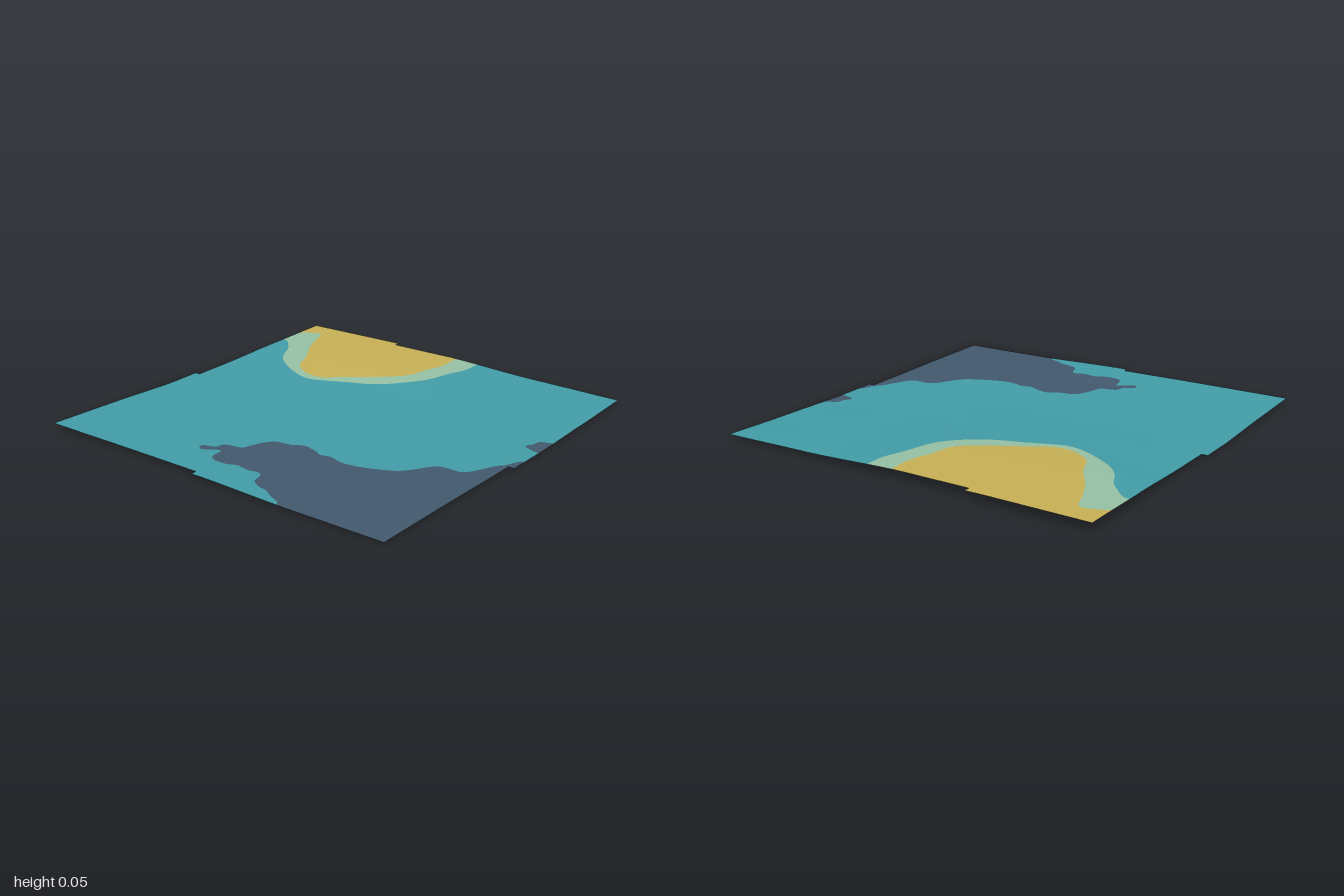
import * as THREE from 'three';

const mat = (name, color) => {
  const m = new THREE.MeshStandardMaterial({ color, side: THREE.DoubleSide });
  m.name = name;
  return m;
};

// Heights on a coarse grid: rows run back to front, columns from -x to +x
const HEIGHTS = [
  [0.026, 0.022, 0.013, 0.022, 0.038, 0.050],
  [0.026, 0.020, 0.012, 0.030, 0.052, 0.053],
  [0.024, 0.014, 0.010, 0.025, 0.049, 0.053],
  [0.012, 0.010, 0.008, 0.017, 0.026, 0.034],
  [0.010, 0.010, 0.006, 0.005, 0.015, 0.027],
];

// Smooth blend between the grid heights
function height(x, z) {
  const u = THREE.MathUtils.clamp((x + 1) / 0.4, 0, 4.9999);
  const v = THREE.MathUtils.clamp((z + 1) / 0.5, 0, 3.9999);
  const i = Math.floor(u), j = Math.floor(v);
  const ease = (t) => t * 0.5 + t * t * (3 - 2 * t) * 0.5;
  const s = ease(u - i), t = ease(v - j);
  const row = (r) => THREE.MathUtils.lerp(HEIGHTS[r][i], HEIGHTS[r][i + 1], s);
  return THREE.MathUtils.lerp(row(j), row(j + 1), t);
}

function normal(x, z) {
  const e = 0.06;
  return new THREE.Vector3(
    height(x - e, z) - height(x + e, z), 2 * e, height(x, z - e) - height(x, z + e)
  ).normalize();
}

const pts = (list) => list.map(([x, z]) => new THREE.Vector2(x, z));
const smooth = (list) => new THREE.SplineCurve(pts(list)).getPoints(list.length * 4);

// Keep the part of a polygon on one side of an axis-aligned line
function clip(poly, axis, limit, sign) {
  const out = [];
  poly.forEach((a, k) => {
    const b = poly[(k + 1) % poly.length];
    const da = (a[axis] - limit) * sign, db = (b[axis] - limit) * sign;
    if (da >= 0) out.push(a);
    if ((da > 0 && db < 0) || (da < 0 && db > 0)) out.push(a.clone().lerp(b, da / (da - db)));
  });
  return out;
}

// Drape a flat outline over the height field, cell by cell
function drape(name, outline, material) {
  const position = [], normals = [], step = 0.1;
  for (let i = 0; i < 20; i++) {
    const x0 = -1 + i * step;
    const strip = clip(clip(outline, 'x', x0, 1), 'x', x0 + step, -1);
    if (strip.length < 3) continue;
    for (let j = 0; j < 20; j++) {
      const z0 = -1 + j * step;
      let cell = clip(clip(strip, 'y', z0, 1), 'y', z0 + step, -1);
      cell = cell.filter((p, k) => p.distanceTo(cell[(k + 1) % cell.length]) > 1e-6);
      if (cell.length < 3) continue;
      for (const [a, b, c] of THREE.ShapeUtils.triangulateShape(cell, [])) {
        const A = cell[a], B = cell[b], C = cell[c];
        const area = (B.y - A.y) * (C.x - A.x) - (B.x - A.x) * (C.y - A.y);
        if (Math.abs(area) < 1e-9) continue;
        for (const p of area > 0 ? [A, B, C] : [A, C, B]) {
          position.push(p.x, height(p.x, p.y), p.y);
          normals.push(...normal(p.x, p.y).toArray());
        }
      }
    }
  }
  const g = new THREE.BufferGeometry();
  g.setAttribute('position', new THREE.Float32BufferAttribute(position, 3));
  g.setAttribute('normal', new THREE.Float32BufferAttribute(normals, 3));
  const mesh = new THREE.Mesh(g, material);
  mesh.name = name;
  return mesh;
}

export function createModel() {
  const group = new THREE.Group();
  group.name = 'seabedTerrain';

  // Shoreline of the deep basin, from the -x edge to the front edge
  const deepLine = smooth([
    [-1, 0.43], [-0.97, 0.40], [-0.95, 0.35], [-0.92, 0.30], [-0.91, 0.25], [-0.88, 0.20],
    [-0.82, 0.18], [-0.80, 0.15], [-0.81, 0.10], [-0.80, 0.03], [-0.82, -0.02], [-0.82, -0.09],
    [-0.79, -0.13], [-0.73, -0.14], [-0.72, -0.16], [-0.76, -0.22], [-0.75, -0.25],
    [-0.72, -0.25], [-0.70, -0.20], [-0.65, -0.18], [-0.63, -0.10], [-0.57, -0.08],
    [-0.50, -0.05], [-0.47, -0.01], [-0.46, 0.06], [-0.43, 0.11], [-0.45, 0.19], [-0.47, 0.23],
    [-0.46, 0.29], [-0.48, 0.36], [-0.47, 0.45], [-0.42, 0.58], [-0.37, 0.64], [-0.26, 0.71],
    [-0.24, 0.76], [-0.24, 0.83], [-0.20, 0.87], [-0.09, 0.92], [-0.05, 0.95], [0.02, 0.98], [0.03, 1],
  ]);
  // Small deep pocket on the front edge
  const pocketLine = smooth([
    [0.16, 1], [0.18, 0.93], [0.20, 0.91], [0.24, 0.93], [0.28, 0.94], [0.30, 1],
  ]);
  // Outer edge of the shallows, from the back edge to the +x edge
  const shallowLine = smooth([
    [0.69, -0.97], [0.68, -0.93], [0.63, -0.88], [0.57, -0.83], [0.47, -0.78], [0.385, -0.70],
    [0.30, -0.56], [0.265, -0.45], [0.28, -0.37], [0.33, -0.25], [0.39, -0.10], [0.47, 0],
    [0.59, 0.09], [0.75, 0.135], [0.86, 0.17], [0.97, 0.17],
  ]);
  // Edge of the sand
  const sandLine = smooth([
    [0.84, -0.97], [0.87, -0.91], [0.88, -0.84], [0.78, -0.80], [0.67, -0.75], [0.59, -0.70],
    [0.51, -0.65], [0.41, -0.61], [0.35, -0.55], [0.315, -0.47], [0.315, -0.39], [0.36, -0.32],
    [0.42, -0.23], [0.50, -0.115], [0.59, -0.02], [0.72, 0.01], [0.83, 0.04], [0.97, 0.035],
  ]);
  const back = (line) => [...line].reverse();

  const deep = mat('deep water blue', 0x42586c);
  const teal = mat('water teal', 0x419ba6);
  const pale = mat('shallow green', 0x94bfa3);
  const sand = mat('sand yellow', 0xc5ae55);

  group.add(
    drape('deepBasin', [...deepLine, ...pts([[-0.06, 1], [-0.06, 0.97], [-1, 0.97]])], deep),
    drape('deepPocket', pocketLine, deep),
    drape('openWater', [
      ...pts([[-0.97, -1], [0, -1], [0, -0.97]]), ...shallowLine, ...pts([[0.97, 1]]),
      ...back(pocketLine), ...back(deepLine), ...pts([[-1, -0.06], [-0.97, -0.06]]),
    ], teal),
    drape('shallows', [...shallowLine, ...back(sandLine)], pale),
    drape('sandBank', [...sandLine, ...pts([[0.97, -0.37], [1, -0.37], [1, -0.97]])], sand)
  );
  return group;
}
